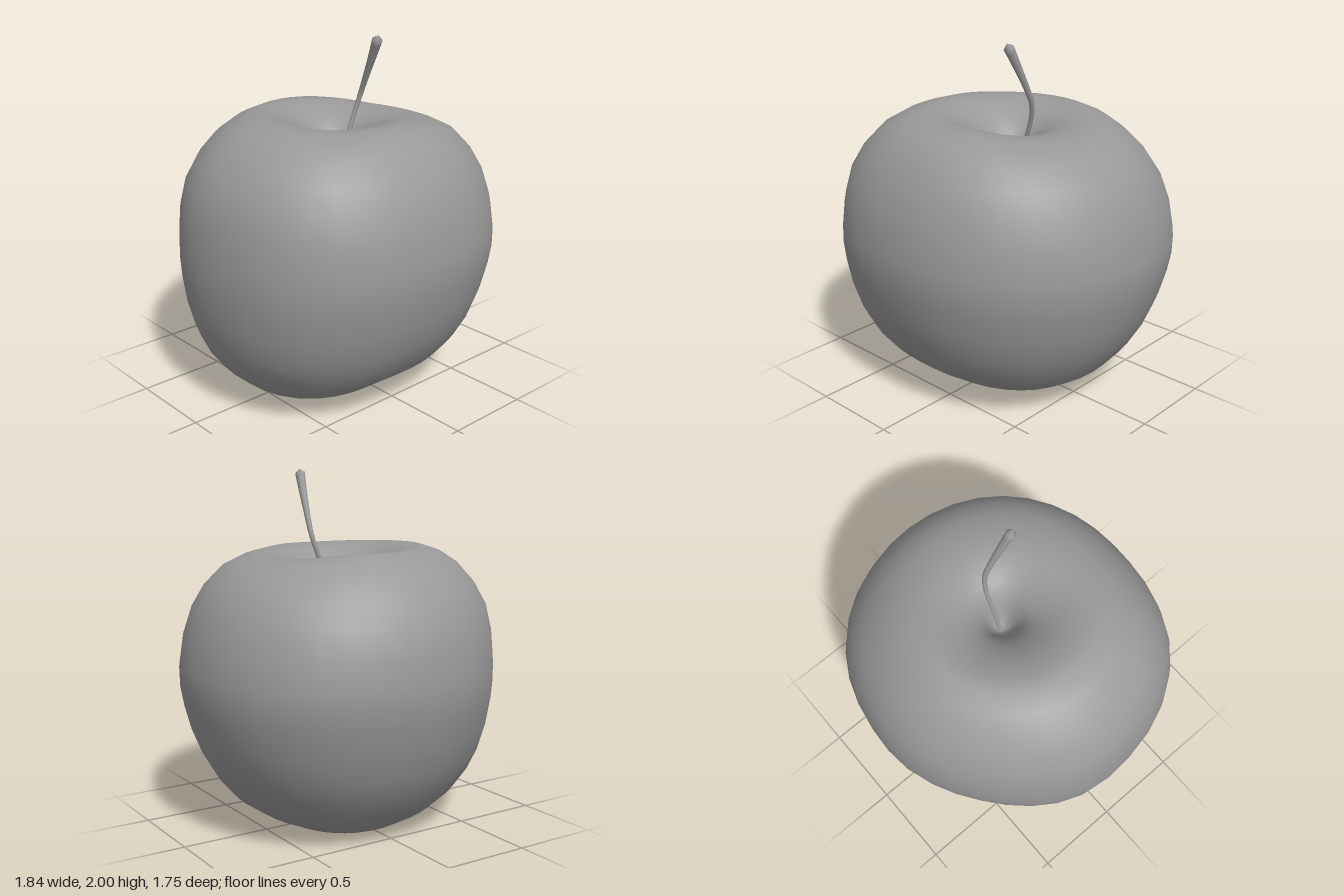
import * as THREE from 'three';
import { mergeVertices } from 'three/addons/utils/BufferGeometryUtils.js';

const material = new THREE.MeshStandardMaterial({ color: 0x999999 });

// Half profiles [radius, height] from the base dimple to the stem cavity, one per side.
const base = [[0, 0.1], [0.08, 0.09]];
const cavity = [[0.19, 1.475], [0.11, 1.39], [0.05, 1.26], [0, 1.21]];
const sides = [
  // left (+x)
  [[0.16, 0.035], [0.25, 0.005], [0.37, 0.03], [0.63, 0.18], [0.8, 0.42], [0.895, 0.7], [0.918, 0.92],
    [0.84, 1.24], [0.68, 1.445], [0.48, 1.515], [0.32, 1.515]],
  // front (+z)
  [[0.16, 0.085], [0.24, 0.07], [0.36, 0.07], [0.62, 0.22], [0.775, 0.45], [0.86, 0.75], [0.873, 0.95],
    [0.81, 1.25], [0.65, 1.49], [0.47, 1.565], [0.32, 1.55]],
  // right (-x)
  [[0.18, 0.045], [0.32, 0.01], [0.5, 0.03], [0.73, 0.2], [0.86, 0.42], [0.918, 0.72], [0.92, 0.95],
    [0.87, 1.25], [0.7, 1.48], [0.48, 1.58], [0.32, 1.555]],
  // back (-z)
  [[0.16, 0.045], [0.24, 0.015], [0.36, 0.012], [0.6, 0.18], [0.76, 0.42], [0.855, 0.73], [0.873, 0.92],
    [0.82, 1.22], [0.66, 1.45], [0.47, 1.565], [0.32, 1.54]],
].map((middle) => [...base, ...middle, ...cavity]);

// Corners between neighbouring sides: [fullness, flattening of the shoulder].
const corners = [[1.015, 0], [1.06, 0], [0.955, 0], [1.035, 0.05]];

// Smooth profile at any angle, blended from the two nearest sides.
function profileAt(angle, count) {
  const turn = (angle / (Math.PI / 2)) % 4;
  const k = Math.floor(turn);
  const w = Math.sin((turn - k) * Math.PI / 2) ** 2;
  const [fullness, flattening] = corners[k];
  const points = sides[k].map(([r, y], i) => {
    const [r2, y2] = sides[(k + 1) % 4][i];
    const height = y + (y2 - y) * w;
    const shoulder = flattening * Math.exp(-(((height - 1.38) / 0.15) ** 2));
    const bulge = 1 + (fullness - 1 - shoulder) * 4 * w * (1 - w);
    return new THREE.Vector3((r + (r2 - r) * w) * bulge, height, 0);
  });
  return new THREE.CatmullRomCurve3(points).getPoints(count);
}

// Joins seams and poles, then smooths the shading.
function weld(geometry) {
  geometry.deleteAttribute('uv');
  geometry.deleteAttribute('normal');
  const welded = mergeVertices(geometry);
  welded.computeVertexNormals();
  return welded;
}

// Lathe whose profile changes with the angle.
function fruitGeometry(segments = 36, rows = 32) {
  const geometry = new THREE.LatheGeometry(profileAt(0, rows), segments);
  const position = geometry.attributes.position;
  for (let i = 0; i <= segments; i++) {
    const phi = ((i % segments) / segments) * Math.PI * 2;
    const angle = (Math.PI * 2.5 - phi) % (Math.PI * 2);
    profileAt(angle, rows).forEach((p, j) => {
      // the cavity floor leans slightly toward the left
      const shift = p.y > 1 ? 0.025 * Math.max(0, 1 - p.x / 0.4) : 0;
      position.setXYZ(i * (rows + 1) + j, p.x * Math.sin(phi) + shift, p.y, p.x * Math.cos(phi));
    });
  }
  return weld(geometry);
}

// Bent tube that thickens toward a blunt tip.
function stemGeometry(rings = 32, sidesCount = 8) {
  const curve = new THREE.CatmullRomCurve3([
    [0.02, 1.18, 0], [0.09, 1.36, 0], [0.155, 1.54, 0.002], [0.183, 1.65, 0.022],
    [0.18, 1.76, 0.07], [0.17, 1.87, 0.125], [0.155, 2, 0.19],
  ].map((p) => new THREE.Vector3(...p)));
  const geometry = new THREE.TubeGeometry(curve, rings, 1, sidesCount);
  const position = geometry.attributes.position;
  const v = new THREE.Vector3();
  for (let i = 0; i <= rings; i++) {
    const t = i / rings;
    const centre = curve.getPointAt(t);
    const radius = i === rings ? 0 : 0.011 + 0.02 * t ** 3;
    for (let j = 0; j <= sidesCount; j++) {
      const n = i * (sidesCount + 1) + j;
      v.fromBufferAttribute(position, n).sub(centre).multiplyScalar(radius).add(centre);
      position.setXYZ(n, v.x, v.y, v.z);
    }
  }
  return weld(geometry);
}

export function createModel() {
  const group = new THREE.Group();
  group.name = 'apple';
  const fruit = new THREE.Mesh(fruitGeometry(), material);
  fruit.name = 'fruit';
  const stem = new THREE.Mesh(stemGeometry(), material);
  stem.name = 'stem';
  group.add(fruit, stem);
  return group;
}
